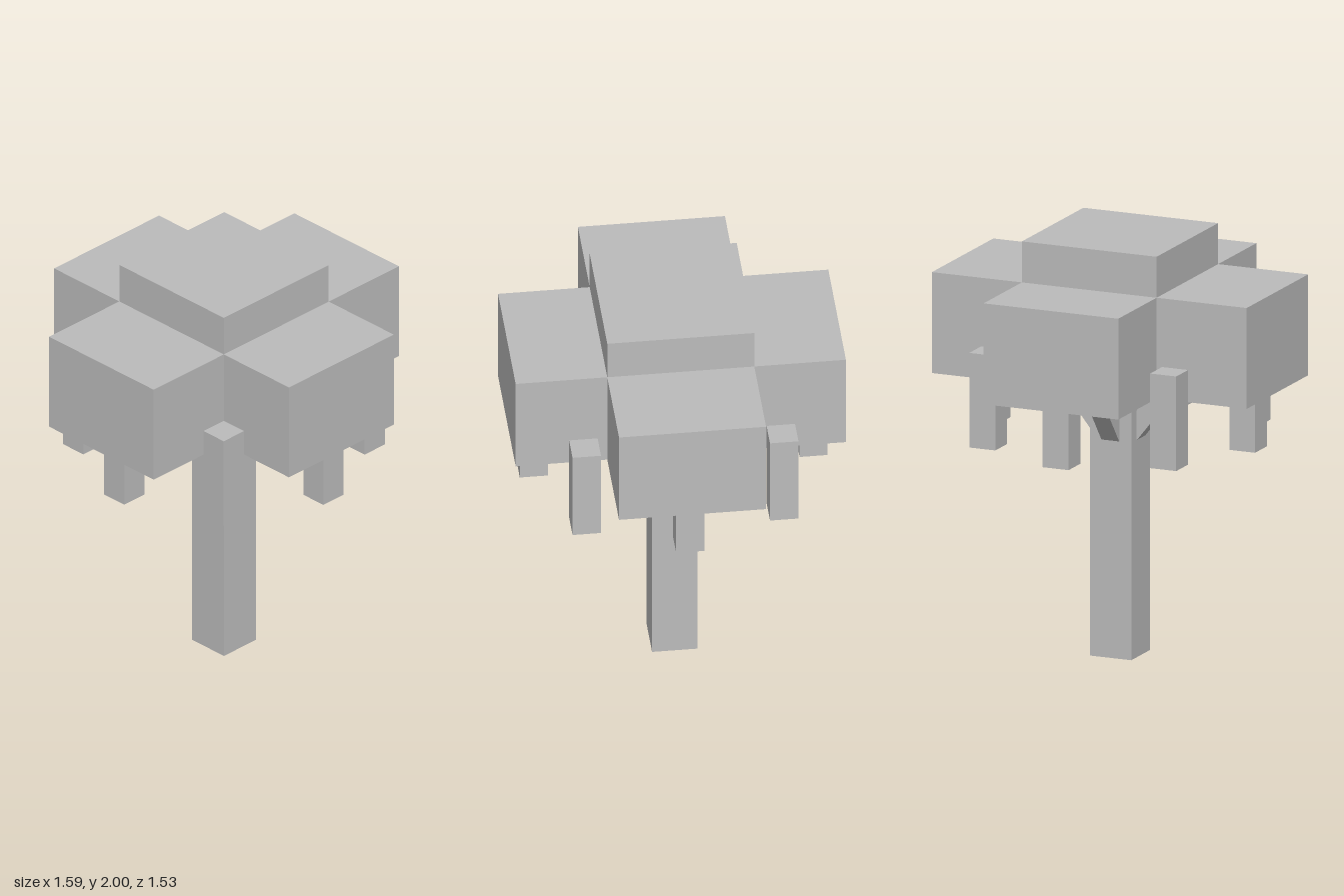
import * as THREE from 'three';

export function createModel() {
  const tree = new THREE.Group();
  tree.name = 'blockTree';
  const grey = new THREE.MeshStandardMaterial({ color: 0xbbbbbb });
  grey.name = 'grey';

  // Box given by its x, y and z extents
  function block(name, [x0, x1], [y0, y1], [z0, z1]) {
    const mesh = new THREE.Mesh(new THREE.BoxGeometry(x1 - x0, y1 - y0, z1 - z0), grey);
    mesh.position.set((x0 + x1) / 2, (y0 + y1) / 2, (z0 + z1) / 2);
    mesh.name = name;
    tree.add(mesh);
  }
  const mirrored = ([a, b], s) => (s > 0 ? [a, b] : [-b, -a]);

  block('trunk', [-0.105, 0.105], [0, 1.305], [-0.105, 0.105]);

  // Crown: tall centre with four lower side blocks
  const core = [-0.341, 0.341];
  block('crownCentre', core, [1.325, 2], core);
  for (const s of [1, -1]) {
    block('crownSide', mirrored([0.341, 0.797], s), [1.325, 1.805], core);
    block('crownEnd', core, [1.325, 1.805], mirrored([0.341, 0.766], s));
  }

  // Foliage hanging below each side block
  const narrow = [-0.066, 0.066];
  for (const s of [1, -1]) {
    block('hangingSide', mirrored([0.584, 0.714], s), [1.043, 1.493], narrow);
    block('hangingEnd', narrow, [1.043, 1.493], mirrored([0.584, 0.714], s));
    // Foliage in the corners of the cross
    for (const t of [1, -1]) {
      block('hangingCorner', mirrored([0.392, 0.524], s), [1.043, 1.493], mirrored([0.392, 0.524], t));
    }
  }

  // Four slanted branches from trunk to crown
  const slope = THREE.MathUtils.degToRad(52), length = 0.42;
  for (let i = 0; i < 4; i++) {
    const branch = new THREE.Group();
    branch.name = 'branch';
    const beam = new THREE.Mesh(new THREE.BoxGeometry(length, 0.088, 0.09), grey);
    beam.name = 'branchBeam';
    beam.rotation.z = slope;
    beam.position.set(0.073 + Math.cos(slope) * length / 2, 1.062 + Math.sin(slope) * length / 2, 0);
    branch.add(beam);
    branch.rotation.y = i * Math.PI / 2;
    tree.add(branch);
  }
  return tree;
}
